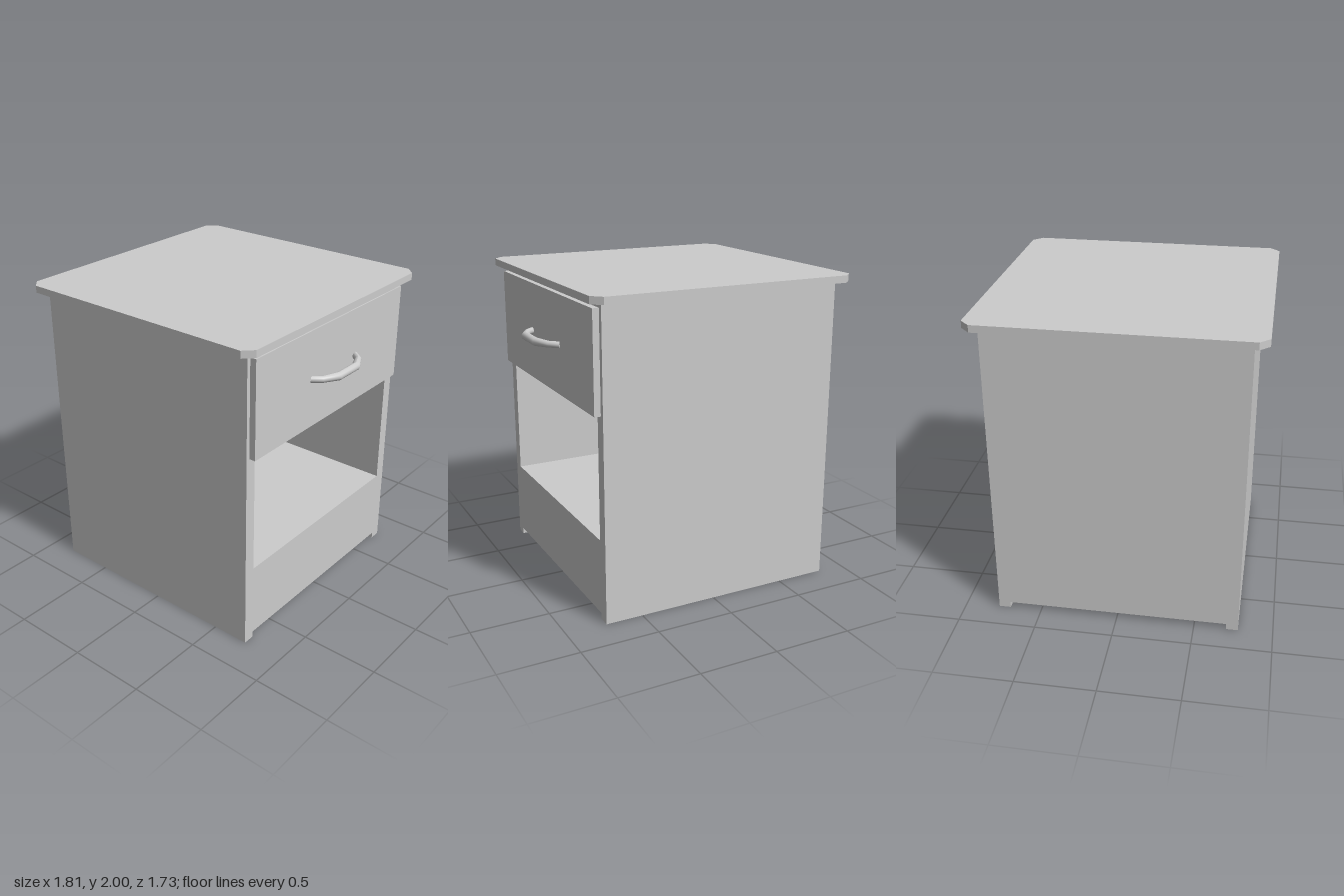
import * as THREE from 'three';

export function createModel() {
  const group = new THREE.Group();
  group.name = 'bedsideCabinet';
  const material = new THREE.MeshStandardMaterial({ color: 0xcccccc });

  const add = (name, geometry) => {
    const mesh = new THREE.Mesh(geometry, material);
    mesh.name = name;
    group.add(mesh);
    return mesh;
  };
  // Box given by its limits on each axis
  const box = (name, [x0, x1], [y0, y1], [z0, z1]) => {
    const mesh = add(name, new THREE.BoxGeometry(x1 - x0, y1 - y0, z1 - z0));
    mesh.position.set((x0 + x1) / 2, (y0 + y1) / 2, (z0 + z1) / 2);
  };

  const back = -0.825, front = 0.74, half = 0.78, inner = 0.705, under = 1.955;

  // Carcass: side panels reach the ground, the rest sits between them
  box('sidePanelLeft', [back, front], [0, under], [inner, half]);
  box('sidePanelRight', [back, front], [0, under], [-half, -inner]);
  box('backPanel', [back, back + 0.04], [0.04, under], [-inner, inner]);
  box('base', [back + 0.04, front], [0.04, 0.52], [-inner, inner]);
  box('drawerBox', [back + 0.04, front], [1.3, under], [-inner, inner]);
  box('drawerFront', [front, 0.78], [1.3, 1.92], [-0.75, 0.755]);

  // Table top with clipped corners
  const x0 = -0.905, x1 = 0.82, z = 0.865, c = 0.06;
  const outline = new THREE.Shape([
    [x0 + c, -z], [x1 - c, -z], [x1, -z + c], [x1, z - c],
    [x1 - c, z], [x0 + c, z], [x0, z - c], [x0, -z + c],
  ].map(([x, y]) => new THREE.Vector2(x, y)));
  const top = add('tableTop', new THREE.ExtrudeGeometry(outline, { depth: 2 - under, bevelEnabled: false }));
  top.rotation.x = -Math.PI / 2;
  top.position.y = under;

  // Bowed handle: stations of x, z, radius and lean of the cross-section
  const halfPath = [
    [0.775, 0.235, 0.02, 0.9],
    [0.83, 0.188, 0.021, 0.75],
    [0.876, 0.092, 0.026, 0.25],
  ];
  const stations = [...halfPath, ...halfPath.map(([x, pz, r, a]) => [x, -pz, r, -a]).reverse()];
  const handle = new THREE.CylinderGeometry(1, 1, 1, 14, stations.length - 1);
  const p = handle.attributes.position;
  for (let i = 0; i < p.count; i++) {
    const k = Math.round((p.getY(i) + 0.5) * (stations.length - 1));
    const [x, pz, r, lean] = stations[k];
    const out = p.getX(i) * r;
    p.setXYZ(i, x + out * Math.cos(lean), p.getZ(i) * r, pz + out * Math.sin(lean));
  }
  // Stations run from +z to -z while the cylinder runs upward
  handle.computeVertexNormals();
  add('drawerHandle', handle).position.set(0, 1.613, -0.008);

  return group;
}
